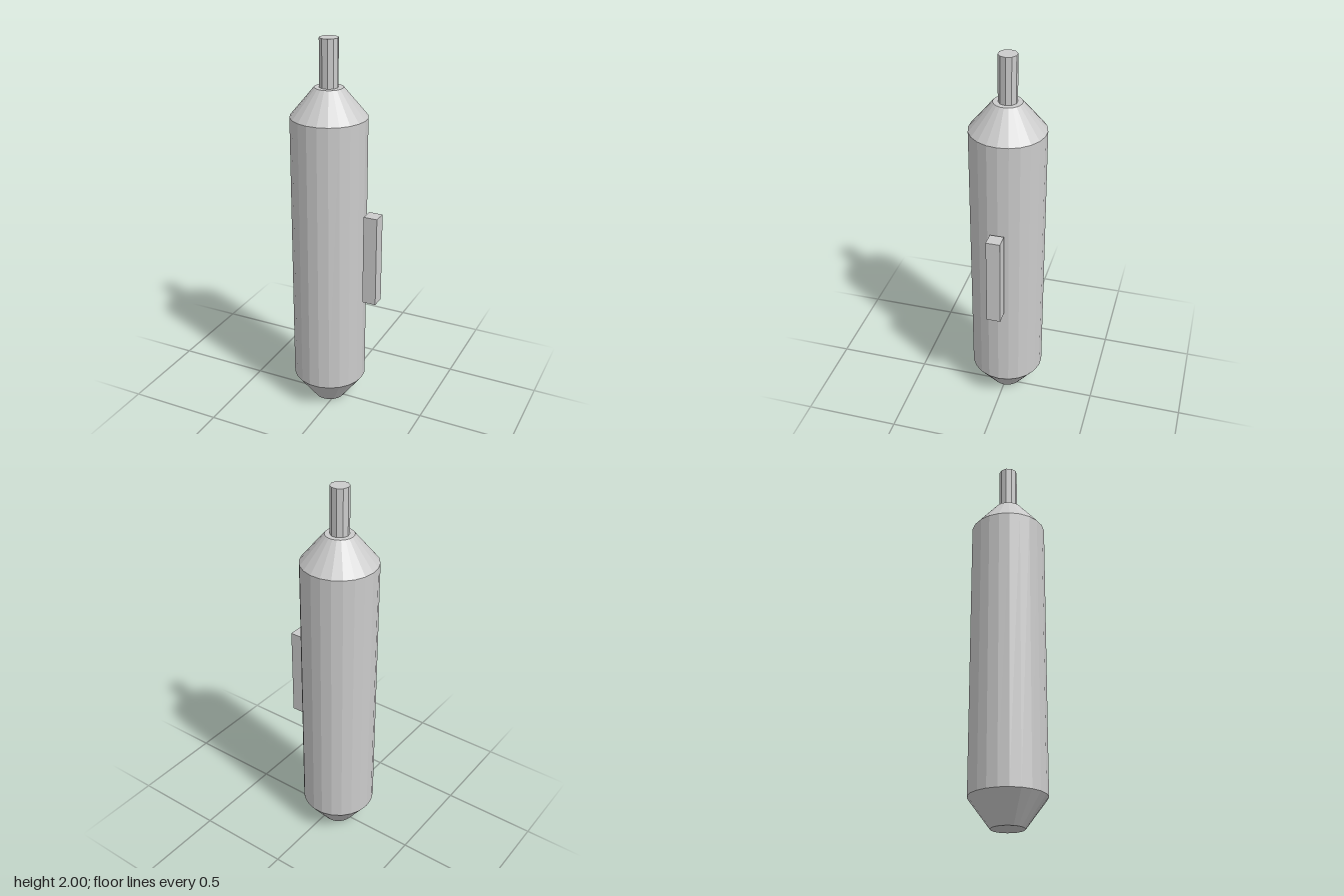
import * as THREE from 'three';

const AXIS_X = -0.043;

export function createModel() {
  const model = new THREE.Group();
  const material = new THREE.MeshStandardMaterial({ color: 0xcccccc, flatShading: true });

  const add = (name, geometry, x, y) => {
    const mesh = new THREE.Mesh(geometry, material);
    mesh.name = name;
    mesh.position.set(x, y, 0);
    model.add(mesh);
  };

  // Upright faceted section between two heights, with a corner facing +x
  const section = (name, y0, y1, r0, r1, sides, open) =>
    add(name, new THREE.CylinderGeometry(r1, r0, y1 - y0, sides, 1, open, Math.PI / 2),
      AXIS_X, (y0 + y1) / 2);

  // Tank with tapered ends
  section('bottomTaper', 0, 0.15, 0.084, 0.195, 22, true);
  section('body', 0.15, 1.613, 0.195, 0.195, 22, true);
  section('topTaper', 1.613, 1.76, 0.195, 0.073, 22, true);

  // Flat end caps
  const cap = (name, radius, y, tilt) => {
    const geometry = new THREE.CircleGeometry(radius, 22).rotateX(tilt);
    add(name, geometry, AXIS_X, y);
  };
  cap('bottomCap', 0.084, 0, Math.PI / 2);
  cap('topCap', 0.073, 1.76, -Math.PI / 2);

  // Stem on top
  section('stem', 1.76, 2, 0.048, 0.048, 10, false);

  // Separate upright bar beside the body
  add('sideBar', new THREE.BoxGeometry(0.073, 0.485, 0.073), 0.2015, 0.8825);

  return model;
}
